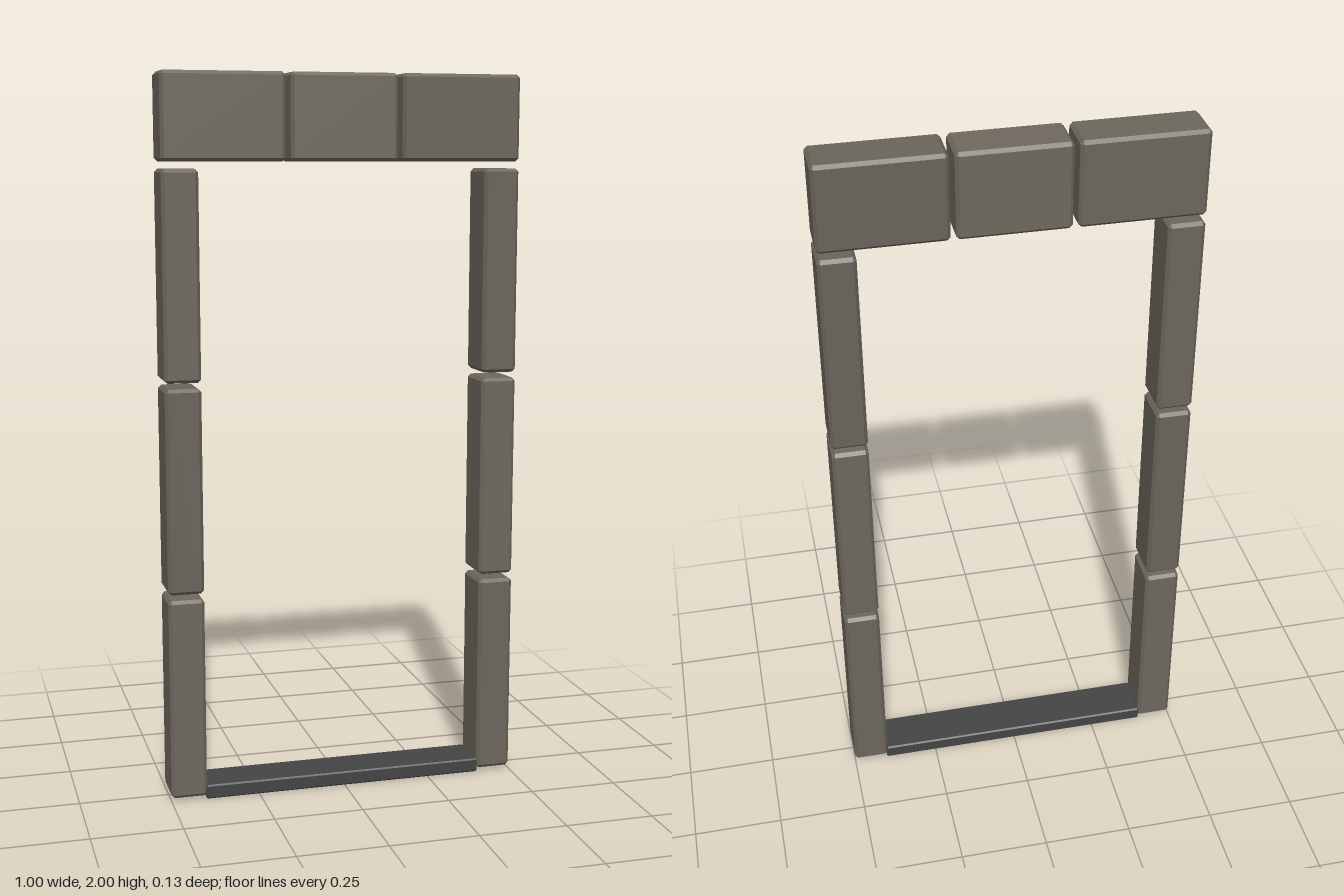
import * as THREE from 'three';
import { ConvexGeometry } from 'three/addons/geometries/ConvexGeometry.js';

// Box with all edges chamfered by c
function chamferBox(w, h, d, c) {
  const half = [w / 2, h / 2, d / 2];
  const points = [];
  for (const sx of [-1, 1]) for (const sy of [-1, 1]) for (const sz of [-1, 1]) {
    for (let axis = 0; axis < 3; axis++) {
      const p = [sx, sy, sz].map((s, i) => s * (half[i] - (i === axis ? 0 : c)));
      points.push(new THREE.Vector3(...p));
    }
  }
  return new ConvexGeometry(points);
}

export function createModel() {
  const group = new THREE.Group();
  const stones = [0x6b665c, 0x6e685d, 0x69645a].map(
    (color) => new THREE.MeshStandardMaterial({ color, flatShading: true }));
  const dark = new THREE.MeshStandardMaterial({ color: 0x444444, flatShading: true });
  const depth = 0.13;

  function block(name, x0, x1, y0, y1, d, chamfer, material) {
    const mesh = new THREE.Mesh(chamferBox(x1 - x0, y1 - y0, d, chamfer), material);
    mesh.name = name;
    mesh.position.set((x0 + x1) / 2, (y0 + y1) / 2, 0);
    group.add(mesh);
  }

  // Jambs: three stacked stones on each side
  for (let i = 0; i < 3; i++) {
    const y = 0.01 + i * 0.584;
    block(`leftJambStone${i + 1}`, 0.4, 0.5, y, y + 0.568, depth, 0.009, stones[i]);
    block(`rightJambStone${i + 1}`, -0.5, -0.4, y, y + 0.568, depth, 0.009, stones[(i + 1) % 3]);
  }

  // Lintel: two end stones and a keystone
  block('rightLintelStone', -0.5, -0.163, 1.765, 2, depth, 0.009, stones[0]);
  block('keystone', -0.149, 0.149, 1.765, 2, depth, 0.009, stones[1]);
  block('leftLintelStone', 0.163, 0.5, 1.765, 2, depth, 0.009, stones[2]);

  // Dark sill between the jambs
  block('sill', -0.402, 0.402, 0, 0.04, 0.126, 0.004, dark);
  return group;
}
